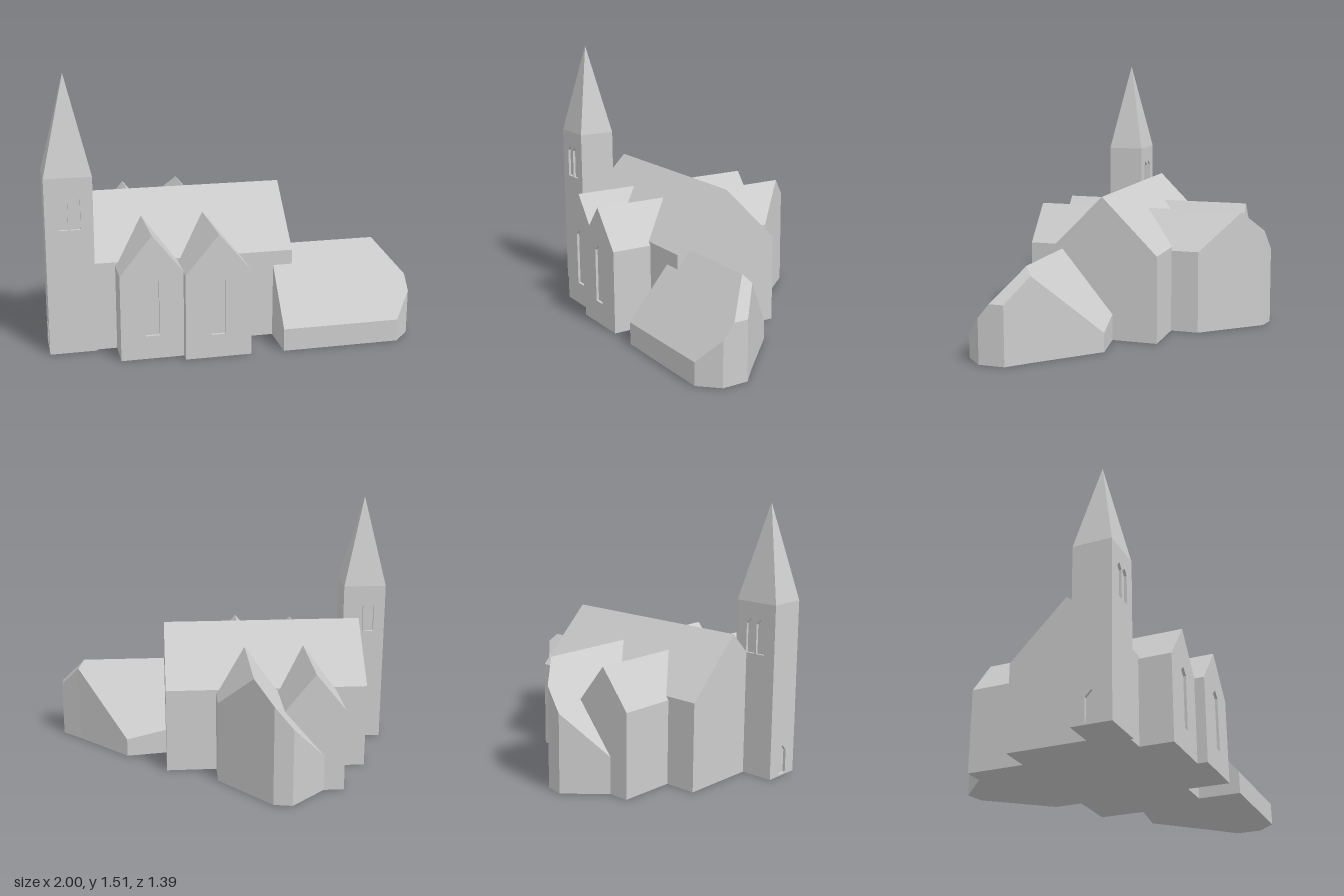
import * as THREE from 'three';

const stone = new THREE.MeshStandardMaterial({ color: 0xcccccc });
stone.name = 'stone';
const RECESS = 0.015;

function addMesh(parent, name, geometry) {
  const mesh = new THREE.Mesh(geometry, stone);
  mesh.name = name;
  parent.add(mesh);
  return mesh;
}

// Solid standing on y = 0: plan polygons [x, z], one per roof plane, with a height rule.
// Walls rise along every edge that is not shared by two polygons.
function roofedBlock(polygons, height) {
  const pos = [];
  const tri = (...pts) => pts.forEach((p) => pos.push(...p));
  const top = (p) => [p.x, height(p.x, -p.y), -p.y];
  const low = (p) => [p.x, 0, -p.y];
  const key = (a, b) => [a.x, a.y, b.x, b.y].join();
  const plans = polygons.map((poly) => {
    const pts = poly.map(([x, z]) => new THREE.Vector2(x, -z));
    return THREE.ShapeUtils.area(pts) < 0 ? pts.reverse() : pts;
  });
  const edges = new Set();
  plans.forEach((pts) => pts.forEach((a, i) => edges.add(key(a, pts[(i + 1) % pts.length]))));
  for (const pts of plans) {
    for (const [a, b, c] of THREE.ShapeUtils.triangulateShape(pts, [])) {
      tri(top(pts[a]), top(pts[b]), top(pts[c]));
      tri(low(pts[c]), low(pts[b]), low(pts[a]));
    }
    pts.forEach((a, i) => {
      const b = pts[(i + 1) % pts.length];
      if (edges.has(key(b, a))) return;
      tri(low(a), low(b), top(b));
      tri(low(a), top(b), top(a));
    });
  }
  const geometry = new THREE.BufferGeometry();
  geometry.setAttribute('position', new THREE.Float32BufferAttribute(pos, 3));
  geometry.computeVertexNormals();
  return geometry;
}

// Pointed outline: straight sides up to the shoulder, then a peak in the middle
function pointed(x0, x1, y0, shoulder, peak) {
  return [[x0, y0], [x1, y0], [x1, shoulder], [(x0 + x1) / 2, peak], [x0, shoulder]]
    .map(([x, y]) => new THREE.Vector2(x, y));
}

// Thin wall facing +z with openings cut through it
function facade(outline, openings) {
  const shape = new THREE.Shape(outline);
  openings.forEach((o) => shape.holes.push(new THREE.Path(o)));
  return new THREE.ExtrudeGeometry(shape, { depth: RECESS, bevelEnabled: false });
}

const rect = (x0, x1, z0, z1) => [[x0, z0], [x1, z0], [x1, z1], [x0, z1]];

export function createModel() {
  const church = new THREE.Group();
  church.name = 'church';

  // Nave with its ridge along x
  addMesh(church, 'nave', roofedBlock(
    [rect(-0.815, 0.355, -0.185, 0.135), rect(-0.815, 0.355, 0.135, 0.455)],
    (x, z) => 0.815 - Math.abs(z - 0.135),
  ));

  // Two cross gables running through the nave
  const gables = [
    { name: 'outerGable', x0: -0.635, x1: -0.29, front: 0.635 },
    { name: 'innerGable', x0: -0.295, x1: 0.065, front: 0.69 },
  ];
  gables.forEach(({ name, x0, x1, front }, i) => {
    const mid = (x0 + x1) / 2;
    const slope = (0.69 - 0.475) / (x1 - mid);
    const inner = front - RECESS;
    // The inner gable ends at the back in slanted walls, its left slope running low
    const plan = i === 0
      ? [rect(x0, mid, -0.51, inner), rect(mid, x1, -0.51, inner)]
      : [
        [[mid, inner], [mid, -0.557], [-0.215, -0.675], [-0.32, -0.695], [-0.52, -0.51], [x0, -0.51], [x0, inner]],
        [[mid, inner], [x1, inner], [x1, -0.345], [mid, -0.557]],
      ];
    addMesh(church, name, roofedBlock(plan, (x) => 0.69 - slope * Math.abs(x - mid)));
    const c = mid - 0.002;
    const wall = facade(pointed(x0, x1, 0, 0.475, 0.69),
      [pointed(c - 0.0375, c + 0.0375, 0.13, 0.435, 0.47)]);
    addMesh(church, name + 'Front', wall).position.z = inner;
  });

  // Side chapel with a hipped end and slanted corners
  addMesh(church, 'chapel', roofedBlock(
    [
      [[0.247, 0.693], [0.9, 0.693], [1, 0.59], [1, 0.525], [0.85, 0.375], [0.247, 0.375]],
      [[0.85, 0.375], [1, 0.525], [1, 0.443], [0.887, 0.338]],
      [[0.247, 0.375], [0.85, 0.375], [0.887, 0.338], [0.59, 0.042], [0.247, 0.092]],
    ],
    (x, z) => 0.51 - 1.21 * Math.max(Math.abs(z - 0.375), x - 0.85, 0),
  ));

  // Tower: core, recessed openings on three sides, spire
  const tower = new THREE.Group();
  tower.name = 'tower';
  tower.position.set(-0.8725, 0, 0.362);
  church.add(tower);
  const hx = 0.1275, hz = 0.108, h = 0.98;
  const core = new THREE.BoxGeometry(2 * hx - RECESS, h, 2 * (hz - RECESS));
  addMesh(tower, 'towerCore', core).position.set(RECESS / 2, h / 2, 0);

  const lancets = [-0.033, 0.033].map((x) => pointed(x - 0.027, x + 0.027, 0.695, 0.86, 0.89));
  [['towerFront', 0], ['towerBack', Math.PI]].forEach(([name, turn]) => {
    const wall = facade(pointed(-hx, hx, 0, h, h), lancets);
    wall.translate(0, 0, hz - RECESS).rotateY(turn);
    addMesh(tower, name, wall);
  });
  const w = hz - RECESS;
  const doorWall = facade(pointed(-w, w, 0, h, h), [pointed(-0.033, 0.033, 0.01, 0.14, 0.175)]);
  doorWall.translate(0, 0, hx - RECESS).rotateY(-Math.PI / 2);
  addMesh(tower, 'doorWall', doorWall);

  const spire = new THREE.ConeGeometry(Math.SQRT2, 0.533, 4).rotateY(Math.PI / 4)
    .scale(hx, 1, hz).toNonIndexed();
  spire.computeVertexNormals();
  addMesh(tower, 'spire', spire).position.y = h + 0.2665;

  return church;
}
